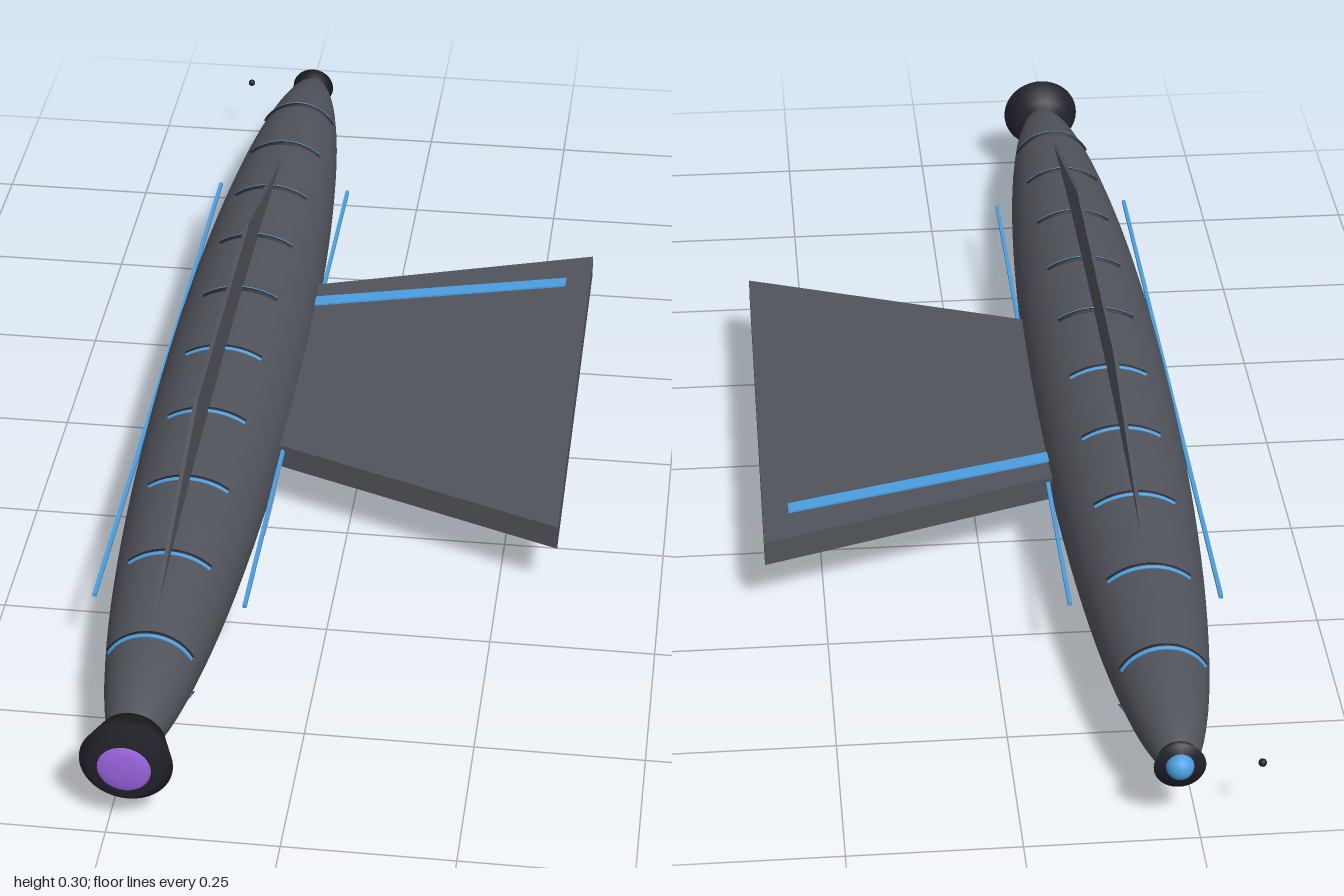
import * as THREE from 'three';

const mat = (name, color) => Object.assign(new THREE.MeshStandardMaterial({ color }), { name });
const AX = -0.22, AY = 0.112;   // hull axis

export function createModel() {
  const grey = mat('hull grey', 0x50535a);
  const dark = mat('dark metal', 0x22222a);
  const blue = mat('glow blue', 0x4a9fe0);
  const purple = mat('engine purple', 0x9a64dd);
  const white = mat('pale trim', 0xd8d8d8);

  const model = new THREE.Group();
  const ship = new THREE.Group();   // origin on the hull axis
  ship.name = 'ship';
  ship.position.set(AX, AY, 0);
  model.add(ship);

  const add = (name, geometry, material, x = 0, y = 0, z = 0) => {
    const mesh = new THREE.Mesh(geometry, material);
    mesh.name = name;
    mesh.position.set(x, y, z);
    ship.add(mesh);
    return mesh;
  };
  const hullRadius = z => 0.112 * Math.sqrt(Math.max(0, 1 - ((z + 0.01) / 0.985) ** 2));
  // Lathe around z from [radius, z] pairs
  const latheZ = pts => new THREE.LatheGeometry(pts.map(p => new THREE.Vector2(...p)), 40).rotateX(Math.PI / 2);

  // Cigar-shaped hull
  const profile = [];
  for (let i = 0; i <= 48; i++) {
    const z = -0.01 - 0.985 * Math.cos(Math.PI * i / 48);
    if (z > -0.98 && z < 0.96) profile.push([hullRadius(z), z]);
  }
  add('hull', latheZ(profile), grey).scale.y = 0.98;

  // Hull ribs over the top and underside, each with a thin glowing edge
  const rib = (name, r, tube, half, material, z, side) => {
    const g = new THREE.TorusGeometry(r, tube, 6, 20, 2 * half);
    g.rotateZ(side * Math.PI / 2 - half);
    add(name, g, material, 0, 0, z);
  };
  for (let i = 0; i < 10; i++) {
    const z = -0.79 + i * 0.1735;
    const r = hullRadius(z) * 0.98;
    const half = Math.asin(Math.min(0.96, 0.06 / r));
    for (const side of [1, -1]) {
      rib('hullRib', r, 0.0045, half, dark, z, side);
      rib('ribGlow', r, 0.0035, half, blue, z + (z > 0 ? 0.004 : -0.004), side);
    }
  }

  // Thin light lines along both flanks, with pale trim beneath
  for (const s of [1, -1]) {
    add('flankLight', new THREE.BoxGeometry(0.006, 0.006, 1.21), blue, s * 0.113, 0.008, 0.01);
    for (const [z, length] of [[0.24, 0.29], [-0.205, 0.21]])
      add('flankTrim', new THREE.BoxGeometry(0.006, 0.006, length), white, s * 0.107, -0.027, z);
  }

  // Dorsal fin
  const finShape = new THREE.Shape([[-0.73, 0.07], [-0.34, 0.183], [0.18, 0.183], [0.57, 0.085], [0.57, 0.06], [-0.73, 0.04]]
    .map(p => new THREE.Vector2(...p)));
  const fin = new THREE.ExtrudeGeometry(finShape, { depth: 0.006, bevelEnabled: false });
  fin.translate(0, 0, -0.003).rotateY(Math.PI / 2);
  add('dorsalFin', fin, grey);

  // Flat shapes drawn as [x, z], extruded upward
  const slab = (pts, height) => {
    const shape = new THREE.Shape(pts.map(([x, z]) => new THREE.Vector2(x, -z)));
    return new THREE.ExtrudeGeometry(shape, { depth: height, bevelEnabled: false }).rotateX(-Math.PI / 2);
  };
  // Single wing, widening outward, with a glowing strip on top
  add('wing', slab([[0.05, 0.188], [0.56, 0.375], [0.56, -0.415], [0.05, -0.252]], 0.04), grey, 0, -0.022, 0);
  add('wingLight', slab([[0.1, -0.2], [0.52, -0.313], [0.52, -0.337], [0.1, -0.225]], 0.004), blue, 0, 0.017, 0);

  // Engine nozzle and glowing exhaust
  add('engineNozzle', latheZ([[0, 0.93], [0.049, 0.93], [0.067, 0.978], [0.05, 0.994], [0, 0.994]]), dark);
  const glow = add('engineGlow', new THREE.SphereGeometry(0.042, 32, 16), purple, 0, 0, 0.99);
  glow.scale.z = 0.24;

  // Nose collar, sensor ball and a detached probe
  add('noseCollar', latheZ([[0, -0.98], [0.037, -0.98], [0.026, -0.955], [0, -0.955]]), dark);
  add('noseSensor', new THREE.SphereGeometry(0.02, 24, 16), blue, 0, 0, -0.98);
  add('probe', new THREE.SphereGeometry(0.006, 12, 8), dark, -0.116, 0, -0.982);

  return model;
}
